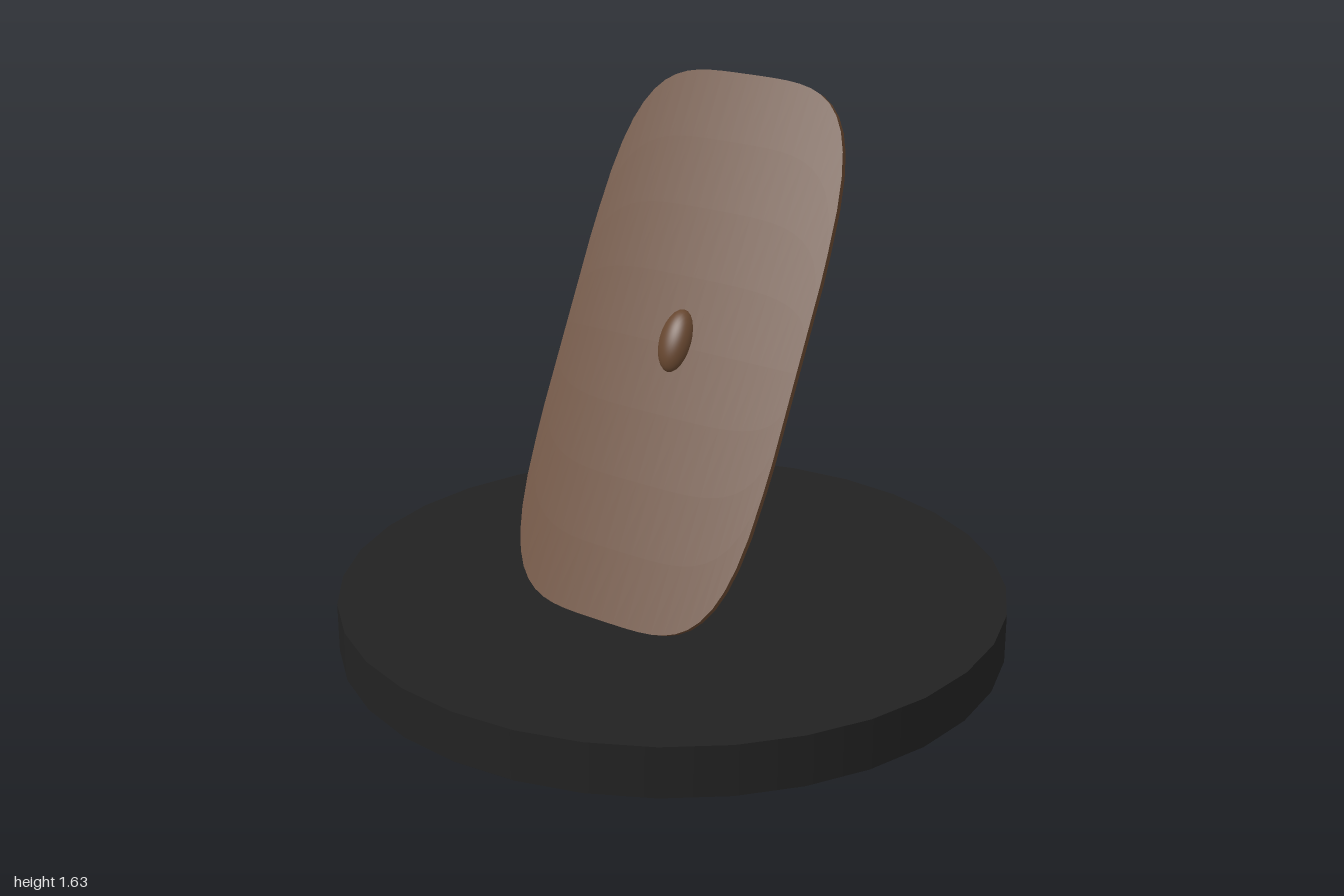
import * as THREE from 'three';

const HALF_W = 0.41, HALF_H = 0.822, THICK = 0.018, POWER = 4.2;

export function createModel() {
  const model = new THREE.Group();
  const black = new THREE.MeshStandardMaterial({ color: 0x222222 });
  black.name = 'black base';
  const brown = new THREE.MeshStandardMaterial({ color: 0x66462f });
  brown.name = 'brown wood';

  const add = (parent, name, geometry, material) => {
    const mesh = new THREE.Mesh(geometry, material);
    mesh.name = name;
    parent.add(mesh);
    return mesh;
  };

  // Round display base
  const base = add(model, 'base', new THREE.CylinderGeometry(1, 1, 0.15, 32), black);
  base.position.y = 0.075;

  // Shield leaning back on the base
  const shield = new THREE.Group();
  shield.name = 'shield';
  shield.position.set(0, 0.89, -0.025);
  shield.rotation.x = -Math.atan(0.5);
  model.add(shield);

  // Board: a box bent into a superellipse outline, bulging gently to the front
  const board = new THREE.BoxGeometry(2, 2, THICK, 28, 8, 1);
  const p = board.attributes.position;
  for (let i = 0; i < p.count; i++) {
    const u = Math.sin(p.getX(i) * Math.PI / 2);
    const reach = Math.pow(1 - Math.pow(Math.min(Math.abs(u), 0.998), POWER), 1 / POWER);
    p.setXYZ(i, u * HALF_W, p.getY(i) * reach * HALF_H, p.getZ(i) + 0.008 - 0.016 * u * u);
  }
  board.computeVertexNormals();
  add(shield, 'board', board, brown);

  // Oval boss on the front
  const boss = add(shield, 'boss',
    new THREE.SphereGeometry(1, 24, 12, 0, Math.PI * 2, 0, Math.PI / 2).rotateX(Math.PI / 2), brown);
  boss.scale.set(0.053, 0.095, 0.046);
  boss.position.set(0, 0.015, 0.012);

  // Low tapering spine along the back
  const spine = add(shield, 'spine', new THREE.SphereGeometry(1, 20, 16), brown);
  spine.scale.set(0.05, 0.5, 0.008);
  spine.position.z = -0.002;

  // Grip on the back: an oval rim crossed by an upright bar
  const rim = add(shield, 'gripRim', new THREE.TorusGeometry(0.05, 0.006, 6, 28), brown);
  rim.scale.set(0.8, 1.8, 1);
  rim.position.set(0, 0.015, -0.006);
  const bar = add(shield, 'gripBar', new THREE.CapsuleGeometry(0.008, 0.15, 4, 10), brown);
  bar.position.set(0, 0.015, -0.008);

  return model;
}
